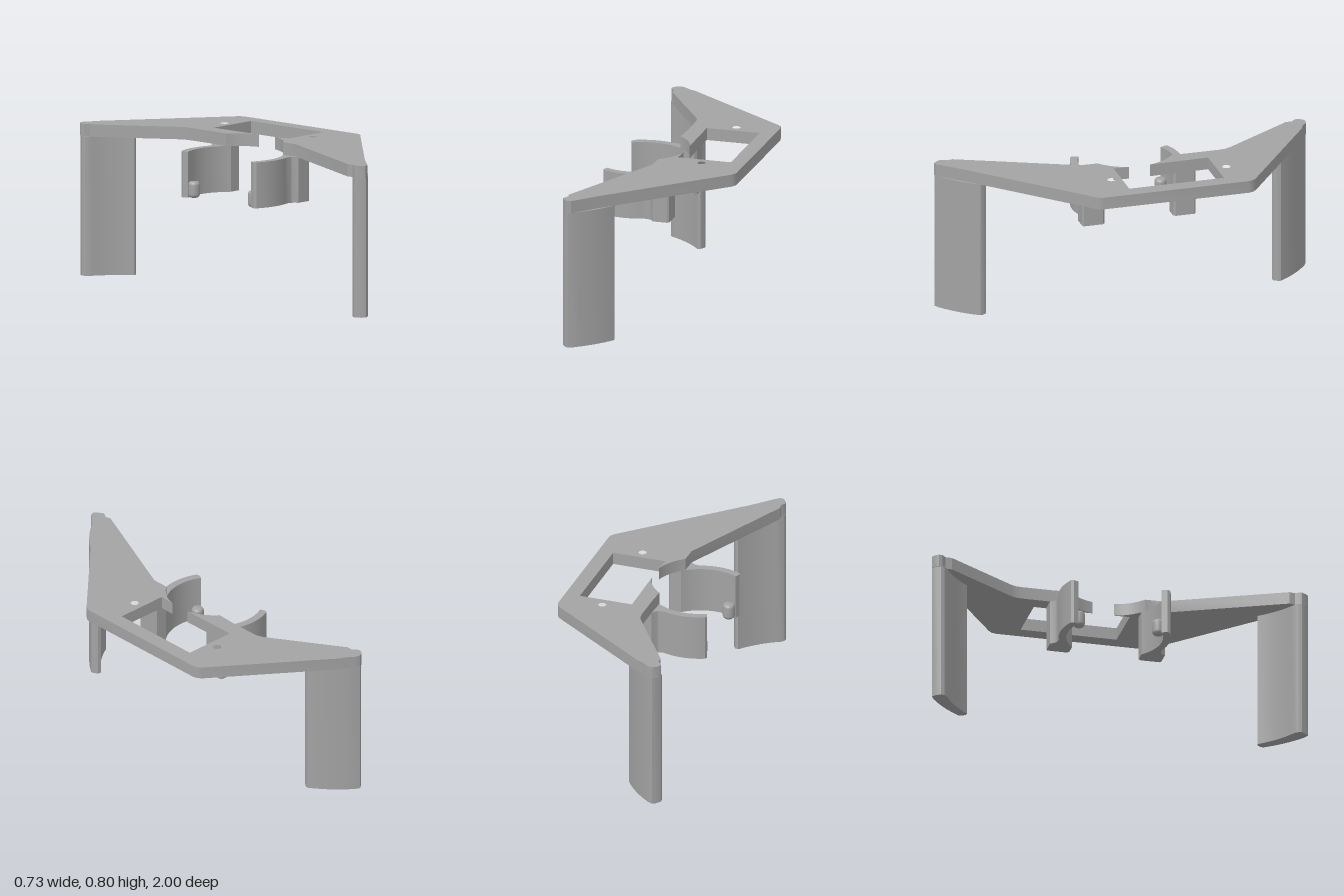
import * as THREE from 'three';
import { toCreasedNormals } from 'three/addons/utils/BufferGeometryUtils.js';

const PLATE_BOTTOM = 0.73, TOP = 0.795, CLIP_BOTTOM = 0.49;
const CX = -0.24, CZ = -0.005; // centre of the round socket

const grey = new THREE.MeshStandardMaterial({ color: 0xa3a3a3 });
grey.name = 'grey plastic';

// Points [x, z] on an arc about the socket centre; side is +1 front, -1 back
function arc(radius, from, to, side, steps = 14) {
  return Array.from({ length: steps + 1 }, (_, i) => {
    const a = THREE.MathUtils.degToRad(from + (to - from) * i / steps);
    return [CX + radius * Math.cos(a), CZ + side * radius * Math.sin(a)];
  });
}

// Upright prism from a ground outline of [x, z] points
function prism(name, outline, y0, y1, holes = []) {
  const toV = ([x, z]) => new THREE.Vector2(x, -z);
  const shape = new THREE.Shape(outline.map(toV));
  for (const [x, z, r] of holes) {
    shape.holes.push(new THREE.Path().absarc(x, -z, r, 0, Math.PI * 2, true));
  }
  const geo = new THREE.ExtrudeGeometry(shape, { depth: y1 - y0, bevelEnabled: false, curveSegments: 24 });
  geo.rotateX(-Math.PI / 2).translate(0, y0, 0);
  const mesh = new THREE.Mesh(toCreasedNormals(geo, 0.5), grey);
  mesh.name = name;
  return mesh;
}

export function createModel() {
  const group = new THREE.Group();
  group.name = 'bracket';

  // Top plate: two wings, a rectangular window open to the round socket
  const screwHoles = [[0.143, -0.43, 0.021], [0.143, 0.188, 0.021]];
  const plate = [
    [-0.368, -0.97], [-0.35, -0.992], [-0.333, -1], [-0.305, -0.993], [-0.27, -0.965], [-0.24, -0.953],
    [0.34, -0.53], [0.358, -0.51], [0.365, -0.485],
    [0.365, 0.295], [0.358, 0.318], [0.345, 0.335],
    [-0.2, 0.87], [-0.29, 0.968], [-0.315, 0.995], [-0.335, 1], [-0.352, 0.985],
    [-0.368, 0.96], [-0.365, 0.945], [-0.352, 0.925], [-0.358, 0.895],
    [-0.09, 0.285],
    ...arc(0.25, 53, 13, 1),
    [0, 0.135], [0.285, 0.135], [0.285, -0.375], [0, -0.375],
    ...arc(0.25, 13, 53, -1),
    [-0.085, -0.3], [-0.085, -0.46], [-0.088, -0.49], [-0.1, -0.52],
    [-0.343, -0.895], [-0.345, -0.93], [-0.365, -0.95],
  ];
  group.add(prism('topPlate', plate, PLATE_BOTTOM, TOP, screwHoles));

  // Floors that make the screw holes blind
  for (const [x, z, r] of screwHoles) {
    const floor = new THREE.Mesh(new THREE.CylinderGeometry(r, r, 0.03, 24), grey);
    floor.position.set(x, PLATE_BOTTOM + 0.015, z);
    floor.name = 'screwHoleFloor';
    group.add(floor);
  }

  for (const side of [1, -1]) {
    const word = side > 0 ? 'front' : 'back';

    // Leg: a gently curved slab, bulging outward
    const outer = new THREE.QuadraticBezierCurve(
      new THREE.Vector2(-0.305, 0.985), new THREE.Vector2(-0.205, 0.91), new THREE.Vector2(-0.14, 0.81));
    const inner = new THREE.QuadraticBezierCurve(
      new THREE.Vector2(-0.172, 0.772), new THREE.Vector2(-0.25, 0.87), new THREE.Vector2(-0.352, 0.925));
    const leg = [
      ...outer.getPoints(8).map(p => [p.x, p.y]),
      [-0.142, 0.795], [-0.155, 0.776],
      ...inner.getPoints(8).map(p => [p.x, p.y]),
      [-0.366, 0.942], [-0.368, 0.96], [-0.352, 0.985], [-0.333, 1],
    ].map(([x, z]) => [x, z * side]);
    group.add(prism(word + 'Leg', leg, 0, PLATE_BOTTOM));

    // Spring clip: root block running into a curved arm
    const clip = [
      ...arc(0.25, 118, 47.5, side, 20),
      [-0.01, CZ + side * 0.185], [0, CZ + side * 0.197],
      [0, CZ + side * 0.298], [-0.01, CZ + side * 0.305],
      [-0.085, CZ + side * 0.305], [-0.098, CZ + side * 0.288], [-0.11, CZ + side * 0.277],
      ...arc(0.29, 70, 115, side, 14),
      [-0.368, CZ + side * 0.248],
    ];
    group.add(prism(word + 'Clip', clip, CLIP_BOTTOM, PLATE_BOTTOM));

    // Rounded peg at the arm tip
    const profile = [[0, 0], [0.022, 0], [0.029, 0.007], [0.032, 0.016], [0.032, 0.066], [0.029, 0.075], [0.022, 0.082], [0, 0.082]]
      .map(([x, y]) => new THREE.Vector2(x, y));
    const peg = new THREE.Mesh(new THREE.LatheGeometry(profile, 24), grey);
    peg.position.set(-0.323, CLIP_BOTTOM, CZ + side * 0.211);
    peg.name = word + 'Peg';
    group.add(peg);
  }
  return group;
}
